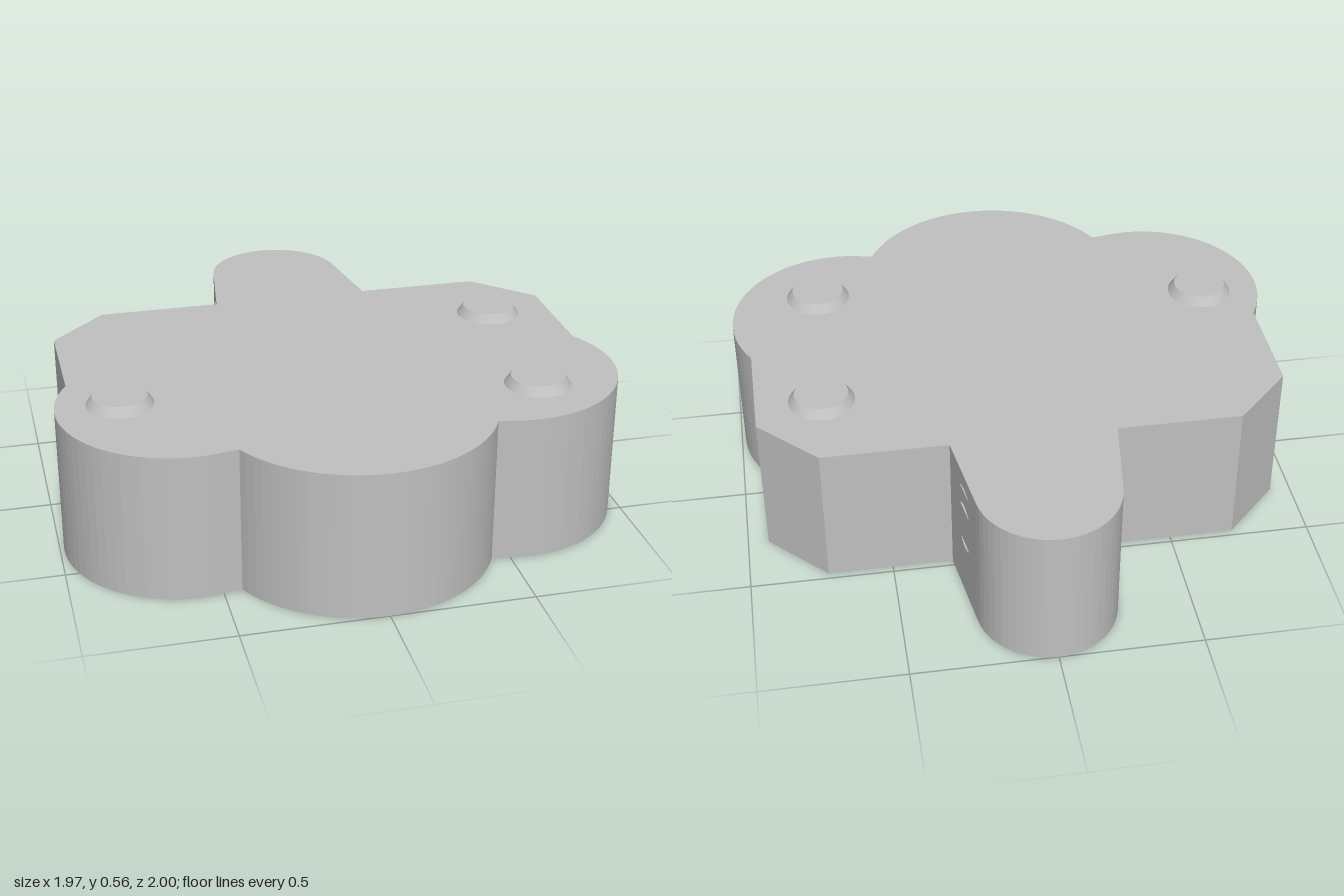
import * as THREE from 'three';

const H = 0.525; // body height
const NECK = { z0: -0.787, z1: -0.476, w0: 0.243, w1: 0.288 };
const neckHalfWidth = z =>
  NECK.w0 + (NECK.w1 - NECK.w0) * (z - NECK.z0) / (NECK.z1 - NECK.z0);

// Keep only the triangles whose centre c and normal n pass the test
function filterFaces(geometry, keep) {
  const p = geometry.getAttribute('position');
  const out = [];
  const tri = new THREE.Triangle(), c = new THREE.Vector3(), n = new THREE.Vector3();
  for (let i = 0; i < p.count; i += 3) {
    tri.setFromAttributeAndIndices(p, i, i + 1, i + 2);
    tri.getMidpoint(c);
    tri.getNormal(n);
    if (keep(c, n)) for (const v of [tri.a, tri.b, tri.c]) out.push(v.x, v.y, v.z);
  }
  const g = new THREE.BufferGeometry();
  g.setAttribute('position', new THREE.Float32BufferAttribute(out, 3));
  g.computeVertexNormals();
  return g;
}

// Points [x, z] on a circle, from one point's direction to another's
function arc(cx, cz, r, from, to, steps) {
  const a0 = Math.atan2(from[1] - cz, from[0] - cx);
  const a1 = Math.atan2(to[1] - cz, to[0] - cx);
  return Array.from({ length: steps + 1 }, (_, i) => {
    const a = a0 + (a1 - a0) * i / steps;
    return [cx + r * Math.cos(a), cz + r * Math.sin(a)];
  });
}

// Outline of the right half, back to front, then mirrored
function bodyOutline() {
  const half = [
    ...arc(0, -0.755, 0.245, [0, -1], [NECK.w0, NECK.z0], 12).slice(0, -1),
    [NECK.w0, NECK.z0], [NECK.w1, NECK.z1],
    [0.727, -0.476], [0.927, -0.275],
    ...arc(0.575, 0.337, 0.411, [0.927, 0.125], [0.436, 0.729], 28).slice(0, -1),
    ...arc(0, 0.513, 0.487, [0.436, 0.729], [0, 1], 16),
  ];
  const mirrored = half.slice(1, -1).reverse().map(([x, z]) => [-x, z]);
  return new THREE.Shape([...half, ...mirrored].map(([x, z]) => new THREE.Vector2(x, -z)));
}

// Arched slit: flat edge at y, bulging by rise (negative bulges down)
function slit(y, rise) {
  const path = new THREE.Path();
  const steps = 10, z = -0.646, w = 0.051;
  for (let i = 0; i <= steps; i++) {
    const t = -1 + 2 * i / steps;
    const p = [z + t * w, y + rise * (1 - t * t)];
    i ? path.lineTo(...p) : path.moveTo(...p);
  }
  path.closePath();
  return path;
}

export function createModel() {
  const group = new THREE.Group();
  const grey = new THREE.MeshStandardMaterial({ color: 0xc0c0c0, side: THREE.DoubleSide });
  grey.name = 'grey';
  const add = (name, geometry) => {
    const mesh = new THREE.Mesh(geometry, grey);
    mesh.name = name;
    group.add(mesh);
    return mesh;
  };

  // Lobed body, left open at the two straight neck walls
  const body = new THREE.ExtrudeGeometry(bodyOutline(), { depth: H, bevelEnabled: false });
  body.rotateX(-Math.PI / 2);
  add('body', filterFaces(body, (c, n) =>
    !(Math.abs(n.x) > 0.95 && c.z > NECK.z0 && c.z < NECK.z1 && Math.abs(c.x) < 0.3)));

  // Tapered neck walls pierced by three slits running right through
  const wall = new THREE.Shape([
    new THREE.Vector2(NECK.z0, 0), new THREE.Vector2(NECK.z1, 0),
    new THREE.Vector2(NECK.z1, H), new THREE.Vector2(NECK.z0, H),
  ]);
  wall.holes.push(slit(0.454, 0.015), slit(0.374, 0.021), slit(0.229, -0.021));
  const neck = new THREE.ExtrudeGeometry(wall, { depth: 1, bevelEnabled: false });
  neck.rotateY(-Math.PI / 2); // drawn axis becomes z, depth becomes -x
  const p = neck.getAttribute('position');
  for (let i = 0; i < p.count; i++) {
    p.setX(i, (p.getX(i) > -0.5 ? 1 : -1) * neckHalfWidth(p.getZ(i)));
  }
  add('slottedNeck', filterFaces(neck, c =>
    c.y > 0.001 && c.y < H - 0.001 && c.z > NECK.z0 + 0.001 && c.z < NECK.z1 - 0.001));

  // Raised round studs with sloping rims
  const stud = new THREE.CylinderGeometry(0.094, 0.116, 0.032, 40);
  for (const [x, z] of [[0.695, -0.16], [-0.762, 0.303], [0.663, 0.48]]) {
    add('stud', stud).position.set(x, H + 0.016, z);
  }
  return group;
}
